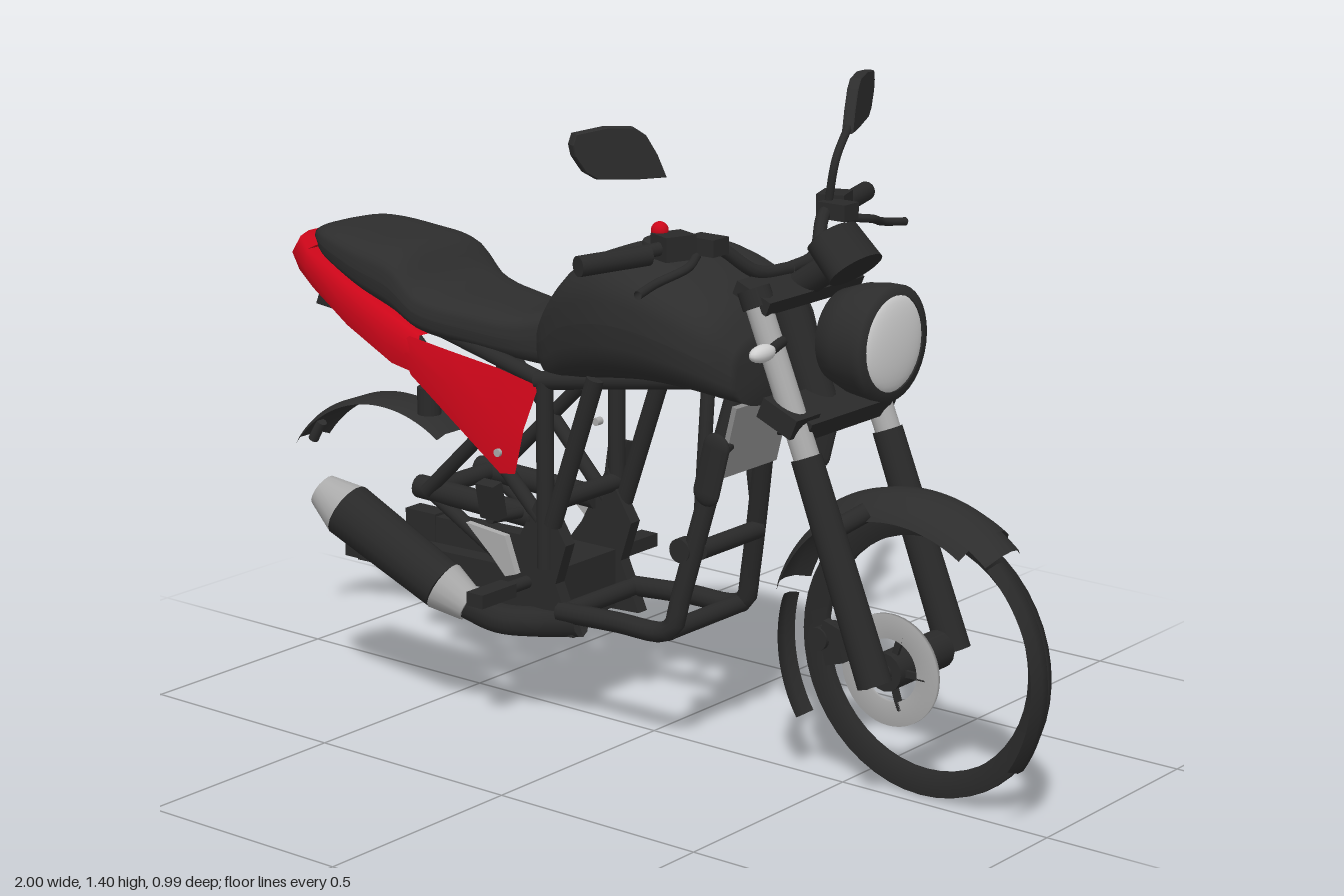
import * as THREE from 'three';

export function createModel() {
  const root = new THREE.Group();
  const mat = (name, color, side = THREE.DoubleSide) => {
    const m = new THREE.MeshStandardMaterial({ color, side });
    m.name = name;
    return m;
  };
  const body = mat('bodyCharcoal', 0x2d2d2d);
  const black = mat('frameBlack', 0x292929);
  const red = mat('paintRed', 0xcc0619, THREE.FrontSide);
  const silver = mat('metalSilver', 0xaaaaaa);
  const lens = mat('lensLight', 0xd0d0d0);
  const grey = mat('panelGrey', 0x8a8a8a);

  const V = (p) => new THREE.Vector3(...p);
  const add = (name, geo, m, pos = [0, 0, 0], rot = [0, 0, 0]) => {
    const mesh = new THREE.Mesh(geo, m);
    mesh.name = name;
    mesh.position.set(...pos);
    mesh.rotation.set(...rot);
    root.add(mesh);
    return mesh;
  };
  const box = (name, size, m, pos, rot) => add(name, new THREE.BoxGeometry(...size), m, pos, rot);
  const rod = (name, a, b, r, m, r2 = r) => {
    const A = V(a), B = V(b);
    const mesh = add(name, new THREE.CylinderGeometry(r2, r, A.distanceTo(B), 16), m);
    mesh.position.copy(A).lerp(B, 0.5);
    mesh.quaternion.setFromUnitVectors(new THREE.Vector3(0, 1, 0), B.sub(A).normalize());
    return mesh;
  };
  const tube = (name, pts, r, m) =>
    add(name, new THREE.TubeGeometry(new THREE.CatmullRomCurve3(pts.map(V), false, 'centripetal'), 32, r, 10), m);
  const shapeOf = (pts) => new THREE.Shape(pts.map((p) => new THREE.Vector2(...p)));
  const plate = (name, pts, t, m, z) =>
    add(name, new THREE.ExtrudeGeometry(shapeOf(pts), { depth: t, bevelEnabled: false }), m, [0, 0, z]);
  // Revolve an (r, z) profile about a z axis between two angles in degrees
  const sweep = (name, prof, cx, cy, m, a0 = 0, a1 = 360) =>
    add(name, new THREE.LatheGeometry(prof.map((p) => new THREE.Vector2(...p)), 48,
      THREE.MathUtils.degToRad(a0 + 90), THREE.MathUtils.degToRad(a1 - a0)).rotateX(Math.PI / 2), m, [cx, cy, 0]);
  // Grid surface from equal-length rows of points
  const skin = (name, rows, m) => {
    const n = rows[0].length, idx = [];
    for (let i = 0; i < rows.length - 1; i++) for (let j = 0; j < n - 1; j++) {
      const a = i * n + j, b = a + n;
      idx.push(a, a + 1, b, b, a + 1, b + 1);
    }
    const g = new THREE.BufferGeometry();
    g.setAttribute('position', new THREE.Float32BufferAttribute(rows.flat(2), 3));
    g.setIndex(idx);
    g.computeVertexNormals();
    return add(name, g, m);
  };
  // Loft rounded sections [x, bottom, top, halfWidth] along x, closed at both ends
  const loft = (name, secs, e, m) => {
    const ring = ([x, yb, yt, w]) => Array.from({ length: 33 }, (_, k) => {
      const t = -k / 32 * Math.PI * 2, c = Math.cos(t), s = Math.sin(t);
      const f = (v) => Math.sign(v) * Math.abs(v) ** e;
      return [x, (yb + yt) / 2 + f(s) * (yt - yb) / 2, w * f(c)];
    });
    const cap = ([x, yb, yt]) => [x, (yb + yt) / 2, (yb + yt) / 2, 0];
    const curve = (k) => new THREE.CatmullRomCurve3(secs.map((s) => new THREE.Vector3(s[0], s[k], 0)));
    const c1 = curve(1), c2 = curve(2), c3 = curve(3), fine = [];
    for (let i = 0; i <= 32; i++) {
      const p = c1.getPoint(i / 32);
      fine.push([p.x, p.y, c2.getPoint(i / 32).y, c3.getPoint(i / 32).y]);
    }
    return skin(name, [cap(fine[0]), ...fine, cap(fine[32])].map(ring), m);
  };

  // Tank and seat
  loft('fuelTank', [[-0.25, 0.78, 0.9, 0.09], [-0.2, 0.755, 0.965, 0.13], [-0.12, 0.775, 1.04, 0.17],
    [0, 0.8, 1.083, 0.208], [0.1, 0.81, 1.08, 0.217], [0.2, 0.81, 1.045, 0.212],
    [0.28, 0.8, 0.995, 0.185], [0.325, 0.79, 0.93, 0.14]], 0.68, body);
  add('tankCap', new THREE.CylinderGeometry(0.07, 0.075, 0.016, 32), body, [0.06, 1.083, 0]);
  loft('seat', [[-0.89, 0.965, 1.01, 0.09], [-0.84, 0.94, 1.02, 0.125], [-0.72, 0.89, 1.012, 0.155],
    [-0.61, 0.85, 0.995, 0.16], [-0.54, 0.82, 0.93, 0.155], [-0.4, 0.8, 0.905, 0.13],
    [-0.3, 0.79, 0.9, 0.115], [-0.22, 0.78, 0.92, 0.09]], 0.62, body);

  // Red tail cowl wrapping round the seat: [x, yLow, yHigh, z]
  const half = [[-0.53, 0.735, 0.825, 0.156], [-0.62, 0.755, 0.865, 0.164], [-0.75, 0.82, 0.92, 0.164],
    [-0.87, 0.885, 0.968, 0.145], [-0.94, 0.91, 0.986, 0.112], [-0.962, 0.93, 0.988, 0.06]];
  const path = [...half.map(([x, a, b, z]) => [x, a, b, -z]), ...[...half].reverse()];
  skin('tailCowl', [
    path.map(([x, a, , z]) => [x + 0.015, a, z * 0.95]),
    path.map(([x, a, b, z]) => [x, a * 0.5 + b * 0.5, z]),
    path.map(([x, , b, z]) => [x + (x < -0.9 ? 0.02 : 0), b, z * 0.94]),
    path.map(([x, , b, z]) => [x + (x < -0.9 ? 0.09 : 0), b, z * 0.7]),
  ], red);
  loft('tailLight', [[-0.958, 0.925, 0.98, 0.06], [-0.91, 0.905, 0.975, 0.08], [-0.87, 0.9, 0.95, 0.07]], 0.6, red);
  plate('plateBracket', [[-0.95, 0.815], [-0.94, 0.84], [-0.8, 0.87], [-0.82, 0.84], [-0.9, 0.81]], 0.06, black, -0.03);

  // Head shell, lens and instruments
  const shell = new THREE.LatheGeometry([[0, -0.095], [0.06, -0.092], [0.095, -0.07], [0.113, -0.02], [0.119, 0.03],
    [0.119, 0.052], [0.098, 0.057]].map((p) => new THREE.Vector2(...p)), 36).rotateZ(-Math.PI / 2);
  add('headlightShell', shell, body, [0.555, 0.953, 0]);
  add('headlightLens', new THREE.SphereGeometry(0.1, 32, 16).scale(0.2, 1, 1), lens, [0.604, 0.953, 0]);
  add('instrumentCase', new THREE.CylinderGeometry(0.07, 0.075, 0.085, 28).scale(0.66, 1, 1), black, [0.485, 1.12, 0], [0, 0, 0.78]);
  add('instrumentDial', new THREE.CylinderGeometry(0.055, 0.055, 0.006, 24).scale(0.66, 1, 1), black, [0.453, 1.152, 0], [0, 0, 0.78]);
  rod('instrumentStay', [0.38, 1.04, 0], [0.47, 1.1, 0], 0.03, black);

  // Front wheel remains: side ring, tread arcs, hub, disc
  const wx = 0.67, wy = 0.305;
  sweep('tyreSide', [[0.25, -0.06], [0.28, -0.062], [0.302, -0.045], [0.3, -0.035], [0.25, -0.04], [0.25, -0.06]], wx, wy, black);
  for (const [a, b] of [[-33, 50], [165, 213]])
    sweep('tread', [[0.31, -0.018], [0.322, 0], [0.322, 0.02], [0.31, 0.042]], wx, wy, black, a, b);
  sweep('brakeDisc', [[0.066, 0.075], [0.117, 0.075], [0.117, 0.083], [0.066, 0.083], [0.066, 0.075]], wx, wy, silver);
  for (let i = 0; i < 5; i++) {
    const a = i / 5 * Math.PI * 2;
    box('discSpoke', [0.05, 0.014, 0.008], black, [wx + 0.06 * Math.cos(a), wy + 0.06 * Math.sin(a), 0.079], [0, 0, a]);
  }
  rod('hub', [wx, wy, -0.09], [wx, wy, 0.1], 0.04, black);
  rod('axle', [wx, wy, -0.17], [wx, wy, 0.17], 0.018, black);
  box('caliper', [0.045, 0.08, 0.05], black, [0.545, 0.34, 0.09], [0, 0, 0.3]);
  box('caliperArm', [0.1, 0.035, 0.02], black, [0.575, 0.36, 0.11], [0, 0, -0.3]);
  rod('caliperPiston', [0.52, 0.35, 0.06], [0.52, 0.35, 0.125], 0.024, black);
  sweep('frontFender', [[0.305, -0.085], [0.332, -0.07], [0.352, -0.035], [0.358, 0], [0.352, 0.035], [0.332, 0.07], [0.305, 0.085]], wx, wy, body, 58, 128);
  sweep('frontFenderNose', [[0.325, -0.062], [0.349, -0.032], [0.356, 0], [0.349, 0.032], [0.325, 0.062]], wx, wy, body, 50, 60);
  sweep('frontFenderTail', [[0.318, -0.06], [0.338, -0.03], [0.342, 0], [0.338, 0.03], [0.318, 0.06]], wx, wy, body, 126, 161);
  sweep('rearFender', [[0.325, -0.055], [0.338, -0.035], [0.338, 0.035], [0.325, 0.055]], -0.74, 0.29, body, 58, 143);
  rod('rearFenderTip', [-0.998, 0.485, 0], [-0.97, 0.53, 0], 0.012, body);

  // Everything that comes in pairs
  const mirrorTurn = Math.PI / 2 + 0.4;
  const mirrorShape = shapeOf([[0, 0], [0.06, 0.002], [0.15, 0.01], [0.175, 0.025], [0.198, 0.058], [0.203, 0.08],
    [0.196, 0.1], [0.13, 0.107], [0.07, 0.102], [0.045, 0.085], [0.02, 0.045]]);
  for (const s of [1, -1]) {
    const z = s * 0.14;
    // Fork leg
    rod('forkTube', [0.375, 1.03, z], [0.53, 0.66, z], 0.027, silver);
    rod('forkSlider', [0.5, 0.73, z], [0.675, 0.29, z], 0.032, black, 0.036);
    rod('forkCap', [0.365, 1.055, z], [0.38, 1.02, z], 0.034, black);
    box('forkClamp', [0.09, 0.045, 0.08], black, [0.455, 0.81, z], [0, 0, -0.4]);
    rod('fenderStay', [0.55, 0.58, s * 0.13], [0.6, 0.62, s * 0.07], 0.02, black);
    // Handlebar, grip, switches and lever
    tube('handlebar', [[0.35, 1.07, 0], [0.34, 1.08, s * 0.1], [0.3, 1.14, s * 0.18], [0.275, 1.15, s * 0.25], [0.2, 1.135, s * 0.46]], 0.014, black);
    rod('grip', [0.25, 1.14, s * 0.33], [0.195, 1.135, s * 0.48], 0.021, black);
    box('switchBlock', [0.06, 0.05, 0.07], black, [0.265, 1.15, s * 0.27], [0, -s * 0.35, 0]);
    box('leverMount', [0.07, 0.035, 0.05], black, [0.31, 1.15, s * 0.22]);
    tube('lever', [[0.3, 1.13, s * 0.24], [0.33, 1.12, s * 0.31], [0.31, 1.1, s * 0.38], [0.32, 1.09, s * 0.45]], 0.009, black);
    // Mirror
    const g = new THREE.ExtrudeGeometry(mirrorShape, { depth: 0.008, bevelThickness: 0.008, bevelSize: 0.002, bevelSegments: 2 });
    add('mirror', g, body, [0.268, 1.295, s * 0.302], [0, -s * mirrorTurn, 0]);
    if (s > 0) add('mirrorGlass', new THREE.ShapeGeometry(mirrorShape).translate(0, 0, 0.0175), lens, [0.268, 1.295, 0.302], [0, -mirrorTurn, 0]);
    // Frame tubes
    tube('downTube', [[0.265, 0.84, s * 0.05], [0.23, 0.66, s * 0.08], [0.165, 0.36, s * 0.12], [0.15, 0.3, s * 0.125], [0.12, 0.283, s * 0.125], [0, 0.28, s * 0.125], [-0.16, 0.27, s * 0.12]], 0.022, black);
    rod('topRail', [0.3, 0.84, s * 0.05], [-0.22, 0.77, s * 0.12], 0.02, black);
    rod('innerStrut', [0.19, 0.81, s * 0.06], [0.2, 0.5, s * 0.1], 0.015, black);
    rod('rearStrut', [-0.06, 0.8, s * 0.12], [-0.18, 0.46, s * 0.12], 0.02, black);
    rod('seatStrut', [-0.2, 0.77, s * 0.12], [-0.2, 0.36, s * 0.12], 0.019, black);
    rod('subframe', [-0.22, 0.46, s * 0.11], [-0.58, 0.82, s * 0.12], 0.016, black);
    rod('subframeBrace', [-0.3, 0.7, s * 0.12], [-0.54, 0.47, s * 0.12], 0.016, black);
    rod('shock', [-0.52, 0.65, s * 0.13], [-0.52, 0.71, s * 0.13], 0.026, black);
    rod('seatRail', [-0.22, 0.77, s * 0.11], [-0.8, 0.91, s * 0.11], 0.017, black);
    plate('pivotPlate', [[-0.21, 0.53], [-0.14, 0.42], [-0.17, 0.33], [-0.12, 0.22], [-0.32, 0.21], [-0.36, 0.3], [-0.28, 0.4]], 0.03, black, s * 0.11 - 0.015);
    plate('pegBracket', [[-0.38, 0.44], [-0.27, 0.43], [-0.24, 0.35], [-0.27, 0.34], [-0.31, 0.38]], 0.016, silver, s * 0.165 - 0.008);
    // Swingarm
    box('swingarm', [0.52, 0.062, 0.045], black, [-0.49, 0.31, s * 0.1], [0, 0, 0.02]);
    box('axleBlock', [0.09, 0.065, 0.05], black, [-0.74, 0.31, s * 0.1]);
    rod('swingarmBrace', [-0.58, 0.47, s * 0.1], [-0.24, 0.46, s * 0.1], 0.026, black);
    rod('swingarmLink', [-0.56, 0.47, s * 0.1], [-0.3, 0.33, s * 0.1], 0.016, black);
    // Foot pegs and small side parts
    box('footPeg', [0.045, 0.03, 0.11], black, [-0.25, 0.32, s * 0.24]);
    rod('footPegStem', [-0.25, 0.32, s * 0.12], [-0.25, 0.32, s * 0.2], 0.014, black);
    box('passengerPeg', [0.05, 0.08, 0.03], black, [-0.27, 0.52, s * 0.215], [s * 0.2, 0, 0]);
    rod('passengerPegStem', [-0.27, 0.47, s * 0.12], [-0.27, 0.48, s * 0.22], 0.012, black);
    add('sidePod', new THREE.CapsuleGeometry(0.03, 0.1, 6, 14).scale(1.1, 1, 0.4), black, [0.3, 0.68, s * 0.19], [0, 0, -0.25]);
    rod('podStay', [0.25, 0.7, s * 0.06], [0.3, 0.7, s * 0.18], 0.012, black);
    rod('signalStem', [0.43, 0.955, s * 0.13], [0.46, 0.955, s * 0.21], 0.011, black);
    // Red side panel, upper edge tucked under the seat, with a bolt
    const rows = [
      [[-0.55, 0.738, 0.156], [-0.42, 0.655, 0.164], [-0.285, 0.565, 0.168], [-0.245, 0.57, 0.166]],
      [[-0.565, 0.785, 0.158], [-0.43, 0.735, 0.163], [-0.295, 0.68, 0.163], [-0.225, 0.67, 0.16]],
      [[-0.575, 0.825, 0.153], [-0.45, 0.805, 0.145], [-0.31, 0.785, 0.138], [-0.205, 0.762, 0.134]],
    ].map((row) => row.map(([x, y, w]) => [x, y, s * w]));
    skin('sidePanel', s > 0 ? rows : rows.map((r) => r.reverse()), red);
    rod('panelBolt', [-0.29, 0.61, s * 0.155], [-0.29, 0.61, s * 0.173], 0.009, silver);
  }
  tube('mirrorStem', [[0.28, 1.15, -0.225], [0.295, 1.25, -0.23], [0.268, 1.305, -0.31]], 0.009, black);
  add('redButton', new THREE.SphereGeometry(0.018, 14, 10), red, [0.232, 1.178, 0.272]);
  add('signalLens', new THREE.SphereGeometry(0.018, 16, 10).scale(1, 1, 2.1), lens, [0.46, 0.955, 0.235]);

  // Steering head and cross members
  rod('steeringHead', [0.33, 1.04, 0], [0.44, 0.77, 0], 0.04, black);
  box('upperYoke', [0.09, 0.03, 0.32], black, [0.375, 1.04, 0], [0, 0, -0.4]);
  box('lowerYoke', [0.1, 0.04, 0.28], black, [0.46, 0.8, 0], [0, 0, -0.4]);
  box('frontPanel', [0.012, 0.16, 0.19], grey, [0.265, 0.71, 0], [0, 0, -0.25]);
  box('pivotBlock', [0.14, 0.13, 0.18], black, [-0.25, 0.29, 0]);
  for (const [x, y, w] of [[0.14, 0.29, 0.125], [-0.15, 0.27, 0.12], [-0.2, 0.5, 0.12], [-0.54, 0.47, 0.1], [0.2, 0.47, 0.1], [-0.58, 0.83, 0.12]])
    rod('crossTube', [x, y, -w], [x, y, w], 0.02, black);
  rod('horn', [0.17, 0.47, 0.1], [0.17, 0.47, 0.13], 0.026, black);

  // Exhaust
  rod('muffler', [-0.42, 0.297, 0.203], [-0.67, 0.43, 0.235], 0.055, black, 0.062);
  rod('mufflerEnd', [-0.67, 0.43, 0.235], [-0.735, 0.465, 0.243], 0.062, silver, 0.038);
  rod('mufflerCollar', [-0.42, 0.297, 0.203], [-0.355, 0.262, 0.19], 0.056, silver, 0.037);
  tube('exhaustPipe', [[-0.365, 0.268, 0.193], [-0.3, 0.238, 0.16], [-0.22, 0.235, 0.12], [-0.12, 0.25, 0.1]], 0.034, black);
  return root;
}
